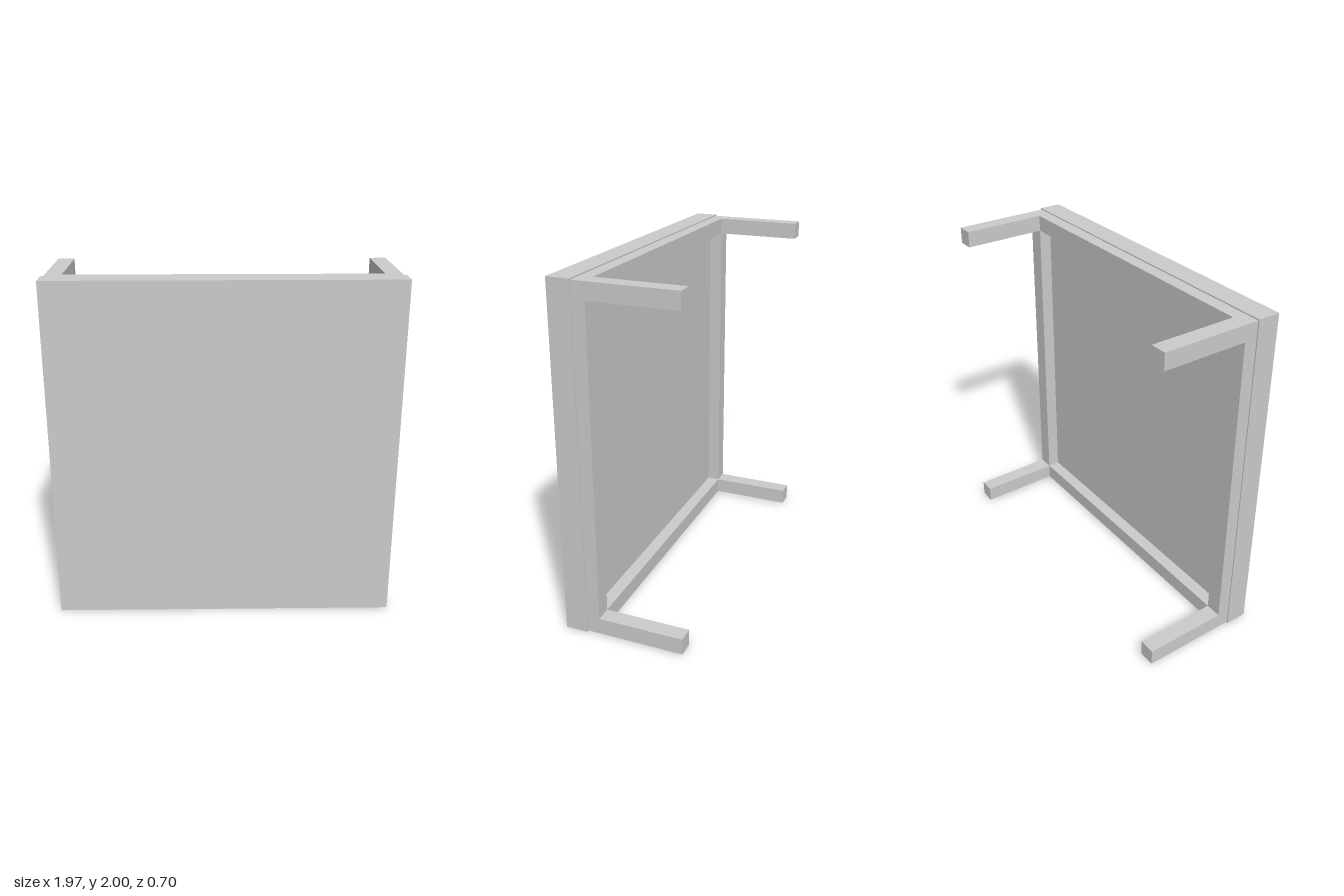
import * as THREE from 'three';

// A square low table lying on its side, its top facing the front.
export function createModel() {
  const group = new THREE.Group();
  group.name = 'table';
  const material = new THREE.MeshStandardMaterial({ color: 0xcccccc, flatShading: true });

  const W = 0.985, H = 1;                 // half width and half height of the top
  const front = 0.35, under = 0.22;       // front and back of the top
  const railBack = 0.145, legEnd = -0.35;
  const t = 0.095, inset = 0.007;         // leg thickness, step in from the top's edge
  const lx = W - inset - t / 2, ly = H - inset - t / 2;

  function box(name, w, h, z0, z1, x, y) {
    const mesh = new THREE.Mesh(new THREE.BoxGeometry(w, h, z1 - z0), material);
    mesh.name = name;
    mesh.position.set(x, y, (z0 + z1) / 2);
    group.add(mesh);
  }

  // Table top
  box('tableTop', 2 * W, 2 * H, under, front, 0, H);

  // Legs at the four corners
  for (const sx of [-1, 1])
    for (const sy of [-1, 1]) box('leg', t, t, legEnd, under, sx * lx, H + sy * ly);

  // Apron rails between the legs
  for (const s of [-1, 1]) {
    box('sideRail', t, 2 * ly - t, railBack, under, s * lx, H);
    box('crossRail', 2 * lx - t, t, railBack, under, 0, H + s * ly);
  }
  return group;
}
